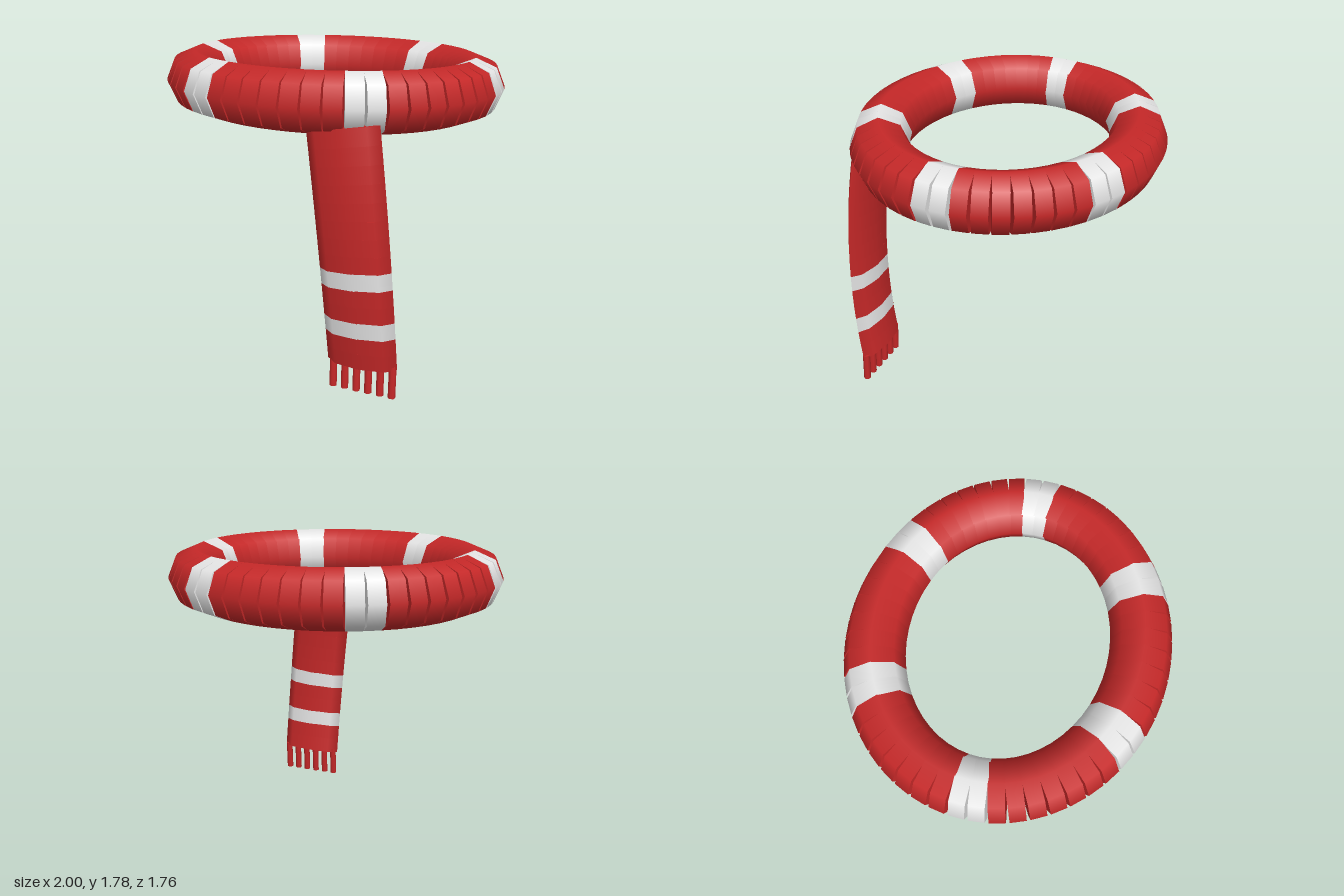
import * as THREE from 'three';

const SIDES = 8;

export function createModel() {
  const model = new THREE.Group();
  const red = new THREE.MeshStandardMaterial({ color: 0xc62828 });
  red.name = 'red wool';
  const white = new THREE.MeshStandardMaterial({ color: 0xe8e8e8 });
  white.name = 'white wool';

  // Straight closed piece from a to b; "side" points along the wide half-axis.
  function addPiece(parent, name, a, b, side, wide, thin, overlap, material) {
    const axis = b.clone().sub(a);
    const geometry = new THREE.CylinderGeometry(1, 1, 1, SIDES);
    geometry.scale(wide, axis.length() * overlap, thin);
    axis.normalize();
    const z = new THREE.Vector3().crossVectors(side, axis).normalize();
    const x = new THREE.Vector3().crossVectors(axis, z);
    const mesh = new THREE.Mesh(geometry, material);
    mesh.name = name;
    mesh.quaternion.setFromRotationMatrix(new THREE.Matrix4().makeBasis(x, axis, z));
    mesh.position.addVectors(a, b).multiplyScalar(0.5);
    parent.add(mesh);
  }

  // Neck loop: 54 pieces on a slightly tilted ellipse, two white in every nine
  const loop = new THREE.Group();
  loop.name = 'neckLoop';
  const count = 54;
  const loopPoint = (i) => {
    const t = (i / count) * Math.PI * 2;
    const z = 0.714 * Math.sin(t);
    return new THREE.Vector3(0.834 * Math.cos(t), 1.59 + 0.031 * z, z);
  };
  const up = new THREE.Vector3(0, 1, 0);
  for (let i = 0; i < count; i++) {
    const isWhite = i % 9 === 0 || i % 9 === 8;
    addPiece(loop, isWhite ? 'loopStripe' : 'loopPiece', loopPoint(i), loopPoint(i + 1),
      up, 0.167, 0.167, 1.03, isWhite ? white : red);
  }
  model.add(loop);

  // Hanging end: flattened pieces along a gentle curve, two white stripes
  const tail = new THREE.Group();
  tail.name = 'hangingEnd';
  const path = new THREE.QuadraticBezierCurve3(
    new THREE.Vector3(0.35, 1.5, 0.73),
    new THREE.Vector3(0.455, 0.85, 0.815),
    new THREE.Vector3(0.467, 0.17, 0.72));
  const right = new THREE.Vector3(1, 0, 0);
  const rows = 14;
  for (let i = 0; i < rows; i++) {
    const isWhite = i === 8 || i === 11;
    addPiece(tail, isWhite ? 'endStripe' : 'endPiece', path.getPoint((i + 1) / rows),
      path.getPoint(i / rows), right, 0.203, 0.06, 1.03, isWhite ? white : red);
  }
  model.add(tail);

  // Fringe
  const fringe = new THREE.Group();
  fringe.name = 'fringe';
  for (let i = 0; i < 6; i++) {
    const x = 0.297 + i * 0.0695;
    addPiece(fringe, 'tassel', new THREE.Vector3(x, 0, 0.728),
      new THREE.Vector3(x, 0.19, 0.718), right, 0.022, 0.022, 1, red);
  }
  model.add(fringe);

  return model;
}
